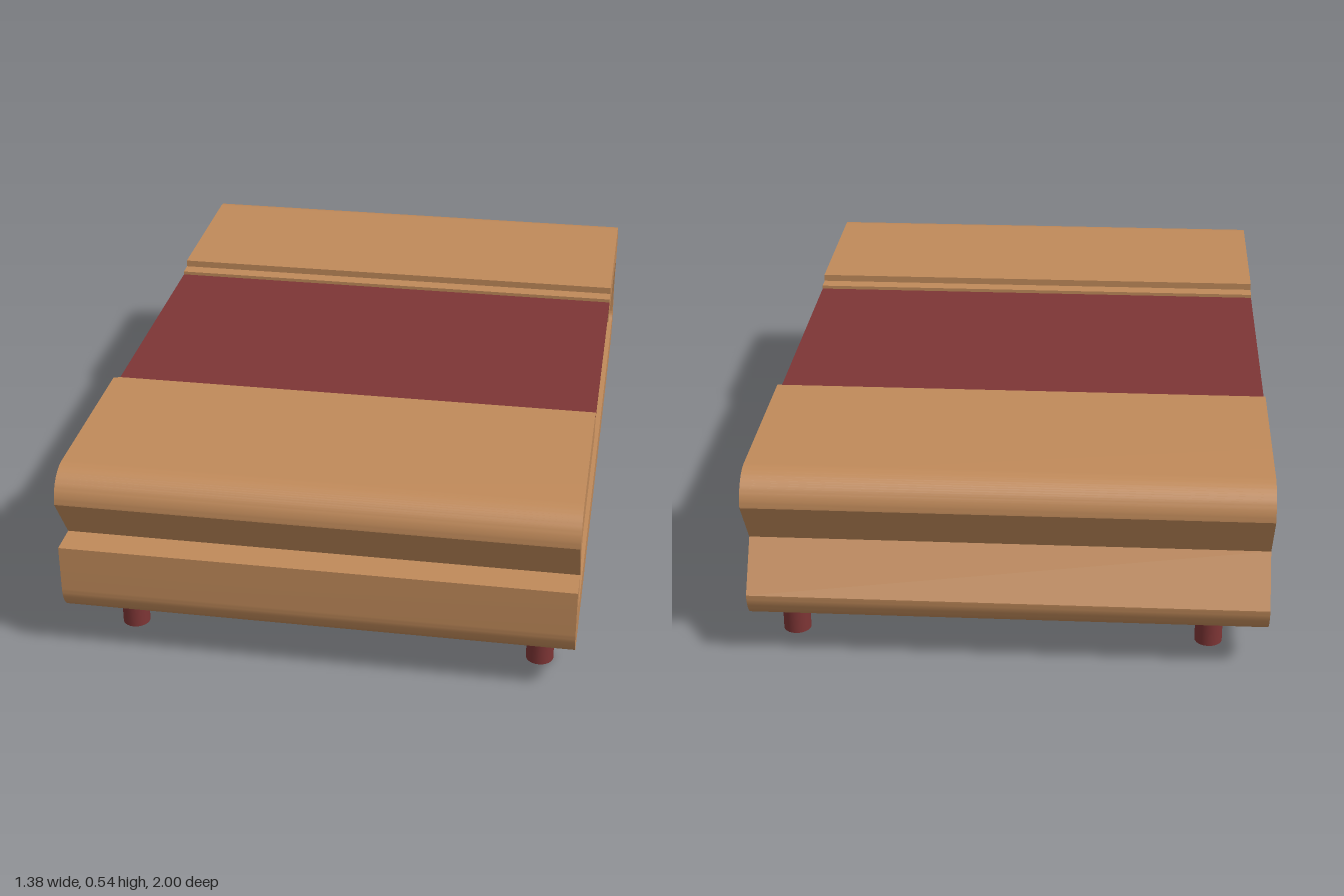
import * as THREE from 'three';
import { toCreasedNormals } from 'three/addons/utils/BufferGeometryUtils.js';

const HALF_W = 0.683, HALF_L = 0.995;
const BOTTOM = 0.11, TOP = 0.54, SEAM = 0.323;
const IN_L = 0.907, IN_BOTTOM = 0.208, IN_TOP = 0.443;
const R_OUT = 0.085, R_IN = 0.04;

const wood = new THREE.MeshStandardMaterial({ color: 0xc08a5a });
const red = new THREE.MeshStandardMaterial({ color: 0x7d3535 });

// Extrudes a (z, y) profile across the full width in x
function sweepAcross(shape, name) {
  let geo = new THREE.ExtrudeGeometry(shape, {
    depth: HALF_W * 2, bevelEnabled: false, curveSegments: 10,
  });
  geo.translate(0, 0, -HALF_W);
  geo.rotateY(-Math.PI / 2);
  geo = toCreasedNormals(geo, 0.6);
  const mesh = new THREE.Mesh(geo, wood);
  mesh.name = name;
  return mesh;
}

// Quarter arc about (cx, cy), starting at angle a in quarter turns
function corner(shape, cx, cy, r, a, clockwise) {
  const start = a * Math.PI / 2;
  const end = start + (clockwise ? -1 : 1) * Math.PI / 2;
  shape.absarc(cx, cy, r, start, end, clockwise);
}

// Lower U-shaped tray, from the seam down
function trayShape() {
  const s = new THREE.Shape();
  s.moveTo(-HALF_L, SEAM);
  corner(s, -HALF_L + R_OUT, BOTTOM + R_OUT, R_OUT, 2, false);
  corner(s, HALF_L - R_OUT, BOTTOM + R_OUT, R_OUT, 3, false);
  s.lineTo(HALF_L, SEAM);
  s.lineTo(IN_L, SEAM);
  corner(s, IN_L - R_IN, IN_BOTTOM + R_IN, R_IN, 4, true);
  corner(s, -IN_L + R_IN, IN_BOTTOM + R_IN, R_IN, 3, true);
  s.lineTo(-IN_L, SEAM);
  s.closePath();
  return s;
}

// Upper shell with a curved end and a stepped lip beside the panel
function shellShape() {
  const s = new THREE.Shape();
  s.moveTo(HALF_L, SEAM);
  corner(s, HALF_L - R_OUT, TOP - R_OUT, R_OUT, 0, false);
  s.lineTo(0.423, TOP);
  s.lineTo(0.423, 0.52);
  s.lineTo(0.38, 0.52);
  s.lineTo(0.38, IN_TOP);
  corner(s, IN_L - R_IN, IN_TOP - R_IN, R_IN, 1, true);
  s.lineTo(IN_L, SEAM);
  s.closePath();
  return s;
}

export function createModel() {
  const table = new THREE.Group();
  table.name = 'lowTable';

  table.add(sweepAcross(trayShape(), 'lowerTray'));
  const front = sweepAcross(shellShape(), 'frontUpperShell');
  const back = sweepAcross(shellShape(), 'backUpperShell');
  back.rotation.y = Math.PI;
  table.add(front, back);

  // Thin centre panel between the two shells
  const panel = new THREE.Mesh(new THREE.BoxGeometry(HALF_W * 2, 0.01, 0.762), red);
  panel.name = 'centrePanel';
  panel.position.y = 0.505;
  table.add(panel);

  // Short round feet
  const footGeo = new THREE.CylinderGeometry(0.037, 0.037, BOTTOM + 0.01, 24);
  for (const x of [-0.535, 0.585]) {
    for (const z of [-0.825, 0.825]) {
      const foot = new THREE.Mesh(footGeo, red);
      foot.name = (z > 0 ? 'front' : 'back') + (x > 0 ? 'Left' : 'Right') + 'Foot';
      foot.position.set(x, (BOTTOM + 0.01) / 2, z);
      table.add(foot);
    }
  }

  // The table stands very slightly turned
  table.rotation.y = 0.007;
  const model = new THREE.Group();
  model.name = 'coffeeTable';
  model.add(table);
  return model;
}
